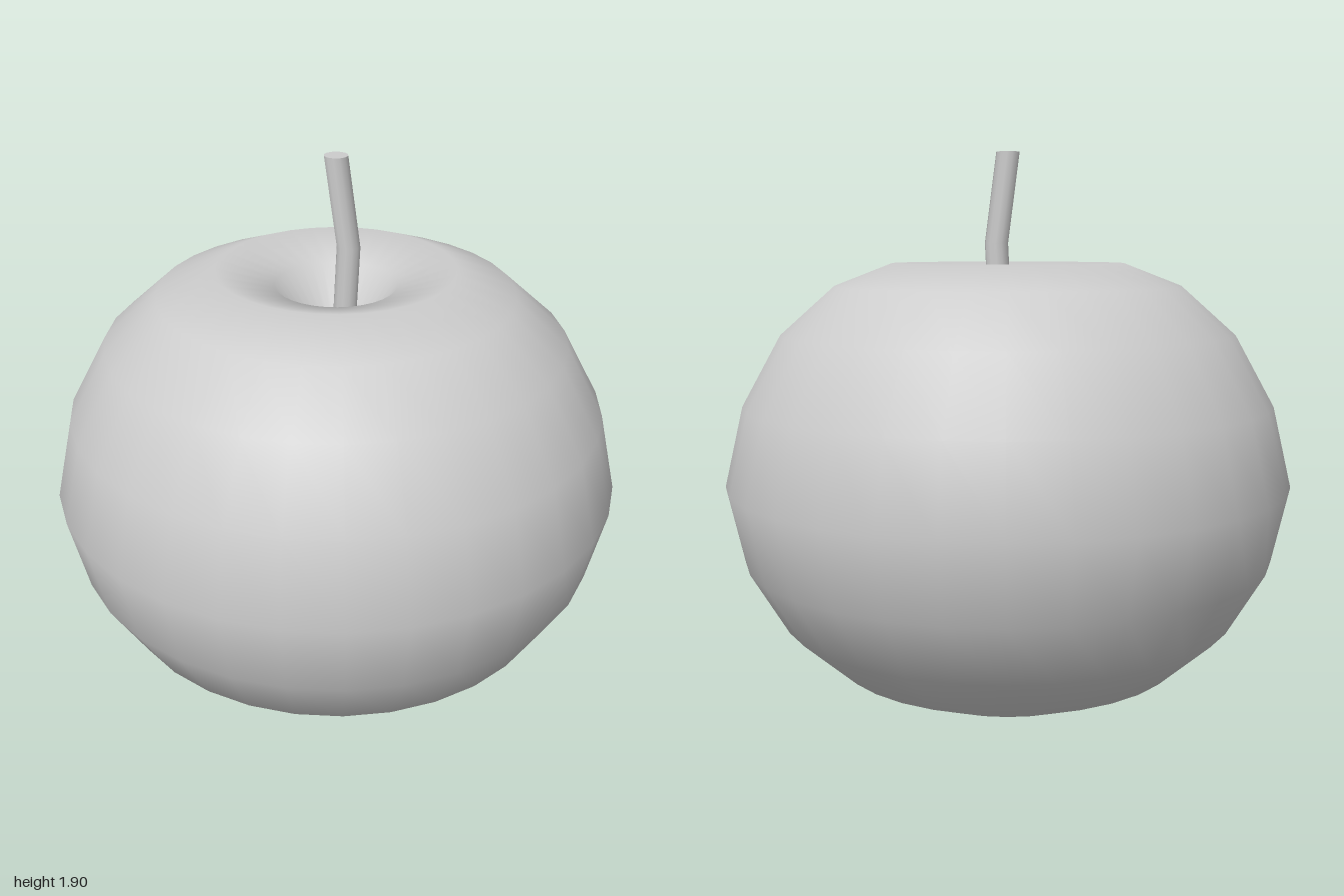
import * as THREE from 'three';

// Fruit profile as [radius, height], from the bottom hollow round to the top hollow
const PROFILE = [
  [0, 0.38], [0.09, 0.24], [0.21, 0.06], [0.41, 0], [0.62, 0.09], [0.81, 0.26], [0.94, 0.48],
  [1, 0.75],
  [0.935, 1.03], [0.80, 1.275], [0.615, 1.44], [0.41, 1.52], [0.21, 1.46], [0.09, 1.28], [0, 1.14],
];

// Stem centres as [x, y, z], from the top down to the floor of the hollow
const STEM = [[0, 1.905, 0], [0.025, 1.59, -0.035], [0.01, 1.15, -0.02]];

function buildStem(radius) {
  const height = 2;
  const geometry = new THREE.CylinderGeometry(radius, radius, height, 12, 2);
  const position = geometry.attributes.position;
  // Slide each horizontal ring onto its centre so the stem bends once
  for (let i = 0; i < position.count; i++) {
    const [x, y, z] = STEM[Math.round(height / 2 - position.getY(i))];
    position.setXYZ(i, position.getX(i) + x, y, position.getZ(i) + z);
  }
  return geometry;
}

export function createModel() {
  const grey = new THREE.MeshStandardMaterial({ color: 0xcccccc });
  grey.name = 'light grey';

  const group = new THREE.Group();
  group.name = 'apple';

  // Round body with a hollow at both ends
  const points = PROFILE.map(([r, y]) => new THREE.Vector2(r, y));
  const body = new THREE.Mesh(new THREE.LatheGeometry(points, 32), grey);
  body.name = 'fruitBody';

  // Bent stem rising from the top hollow
  const stem = new THREE.Mesh(buildStem(0.041), grey);
  stem.name = 'stem';

  group.add(body, stem);
  return group;
}
